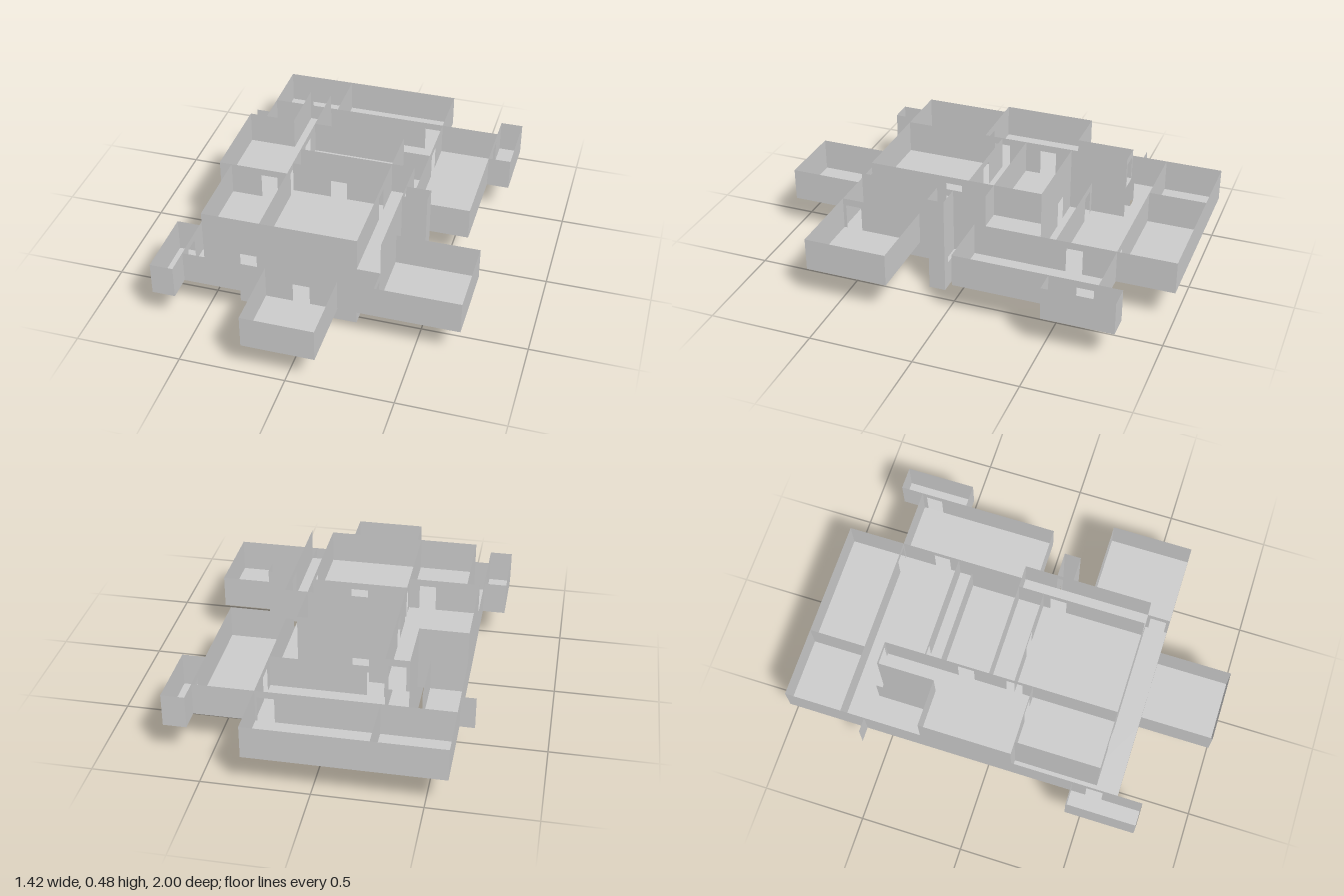
import * as THREE from 'three';

const LEVELS = [0, 0.16, 0.32];
const HEIGHT = 0.16, DOOR_W = 0.08, DOOR_H = 0.125;

export function createModel() {
  const building = new THREE.Group();
  building.name = 'building';
  const material = new THREE.MeshStandardMaterial({
    color: 0xcccccc, side: THREE.DoubleSide, flatShading: true,
  });

  const toPoints = (pts) => pts.map(([x, y]) => new THREE.Vector2(x, y));

  // Thin horizontal slab; outline corners are [x, z]
  function floor(parent, outline, y, hole) {
    const shape = new THREE.Shape(toPoints(outline));
    if (hole) shape.holes.push(new THREE.Path(toPoints(hole)));
    const mesh = new THREE.Mesh(new THREE.ShapeGeometry(shape).rotateX(Math.PI / 2), material);
    mesh.position.y = y;
    mesh.name = 'floor';
    parent.add(mesh);
  }

  // Thin upright wall from a to b; doors are distances along it to each doorway centre
  function wall(parent, name, [ax, az], [bx, bz], y, doors = [], height = HEIGHT) {
    const length = Math.hypot(bx - ax, bz - az);
    const pts = [[0, 0]];
    for (const d of doors) {
      const l = d - DOOR_W / 2, r = d + DOOR_W / 2;
      pts.push([l, 0], [l, DOOR_H], [r, DOOR_H], [r, 0]);
    }
    pts.push([length, 0], [length, height], [0, height]);
    const mesh = new THREE.Mesh(new THREE.ShapeGeometry(new THREE.Shape(toPoints(pts))), material);
    mesh.position.set(ax, y, az);
    mesh.rotation.y = Math.atan2(az - bz, bx - ax);
    mesh.name = name;
    parent.add(mesh);
  }

  // Walls around a closed outline, skipping the listed edges
  function enclose(parent, outline, y, skip = []) {
    outline.forEach((p, i) => {
      if (!skip.includes(i)) wall(parent, 'outerWall', p, outline[(i + 1) % outline.length], y);
    });
  }

  function storey(name) {
    const g = new THREE.Group();
    g.name = name;
    building.add(g);
    return g;
  }

  // Lower storey
  const lower = storey('lowerStorey');
  const lowerPlan = [
    [-0.37, 0.54], [0.2, 0.54], [0.2, -0.25], [0.03, -0.25], [0.03, -0.77], [-0.37, -0.77],
  ];
  floor(lower, lowerPlan, 0);
  enclose(lower, lowerPlan, 0, [1]);
  wall(lower, 'outerWall', [0.2, 0.54], [0.2, -0.25], 0, [0.425]);
  wall(lower, 'partition', [-0.37, -0.25], [0.03, -0.25], 0, [0.2]);

  // Low passage leading to the shaft
  floor(lower, [[0.2, 0.075], [0.43, 0.075], [0.43, 0.155], [0.2, 0.155]], 0);
  for (const z of [0.075, 0.155]) {
    wall(lower, 'passageWall', [0.2, z], [0.39, z], 0, [], 0.13);
    wall(lower, 'shaftWall', [0.39, z], [0.43, z], 0);
  }

  // Middle storey
  const middle = storey('middleStorey');
  const y1 = LEVELS[1];
  const middlePlan = [
    [-0.6, -1], [0.31, -1], [0.31, -0.72], [0.6, -0.72], [0.6, -0.83], [0.71, -0.83],
    [0.71, -0.49], [0.6, -0.49], [0.6, -0.03], [0.31, -0.03], [0.31, 0.25], [0.71, 0.25],
    [0.71, 0.65], [0.14, 0.65], [0.14, 1], [-0.2, 1], [-0.2, 0.65], [-0.6, 0.65],
    [-0.6, 0.77], [-0.71, 0.77], [-0.71, 0.43], [-0.6, 0.43],
  ];
  floor(middle, middlePlan, y1, [[-0.43, -0.6], [-0.37, -0.6], [-0.37, -0.32], [-0.43, -0.32]]);
  enclose(middle, middlePlan, y1, [9]);
  const middleWalls = [
    [[-0.6, -0.72], [0.31, -0.72], [0.86]],
    [[-0.26, -1], [-0.26, -0.72]],
    [[0.31, -0.72], [0.31, -0.03], [0.2]],
    [[-0.26, -0.43], [0.31, -0.43], [0.07]],
    [[-0.43, -0.6], [-0.43, -0.32]],
    [[-0.37, -0.6], [-0.37, -0.32]],
    [[-0.26, -0.6], [-0.26, -0.32]],
    [[-0.67, -0.6], [-0.6, -0.6]],
    [[-0.6, -0.32], [0.2, -0.32], [0.5]],
    [[0.31, -0.03], [0.31, 0.25], [0.145]],
    [[0.31, 0.25], [0.31, 0.65], [0.345]],
    [[-0.54, 0.54], [0.31, 0.54], [0.22]],
    [[-0.54, 0.13], [-0.54, 0.54]],
    [[-0.6, 0.13], [-0.26, 0.13]],
    [[-0.2, 0.65], [0.14, 0.65], [0.17]],
    [[0.6, -0.72], [0.6, -0.49], [0.06]],
    [[-0.6, 0.43], [-0.6, 0.65], [0.11]],
  ];
  for (const [a, b, doors] of middleWalls) wall(middle, 'partition', a, b, y1, doors);

  // Upper storey, with a terrace open at the front
  const upper = storey('upperStorey');
  const y2 = LEVELS[2];
  const upperPlan = [
    [-0.6, -0.32], [-0.37, -0.32], [-0.37, -0.6], [-0.26, -0.6], [-0.26, -0.32], [0.2, -0.32],
    [0.2, -0.085], [0.31, -0.085], [0.31, 0.54], [0.2, 0.54], [-0.54, 0.54], [-0.54, 0.13],
    [-0.6, 0.13],
  ];
  floor(upper, upperPlan, y2);
  enclose(upper, upperPlan, y2, [2, 7, 8]);
  const upperWalls = [
    [[-0.37, -0.6], [-0.26, -0.6], [0.055]],
    [[0.31, -0.085], [0.31, 0.54], [0.2]],
    [[0.2, -0.085], [0.2, 0.54], [0.2]],
    [[-0.26, -0.32], [-0.26, 0.54], [0.12, 0.36]],
    [[-0.26, 0.04], [0.2, 0.04], [0.23]],
    [[-0.26, -0.085], [0.2, -0.085]],
    [[-0.6, 0.13], [-0.26, 0.13], [0.25]],
  ];
  for (const [a, b, doors] of upperWalls) wall(upper, 'partition', a, b, y2, doors);

  // Tall side shaft joining all storeys
  const shaft = storey('shaft');
  for (const z of [0.075, 0.155]) wall(shaft, 'shaftWall', [0.31, z], [0.43, z], y1, [], 2 * HEIGHT);
  wall(shaft, 'shaftEnd', [0.43, 0.155], [0.43, 0.075], 0, [], 3 * HEIGHT);

  return building;
}
